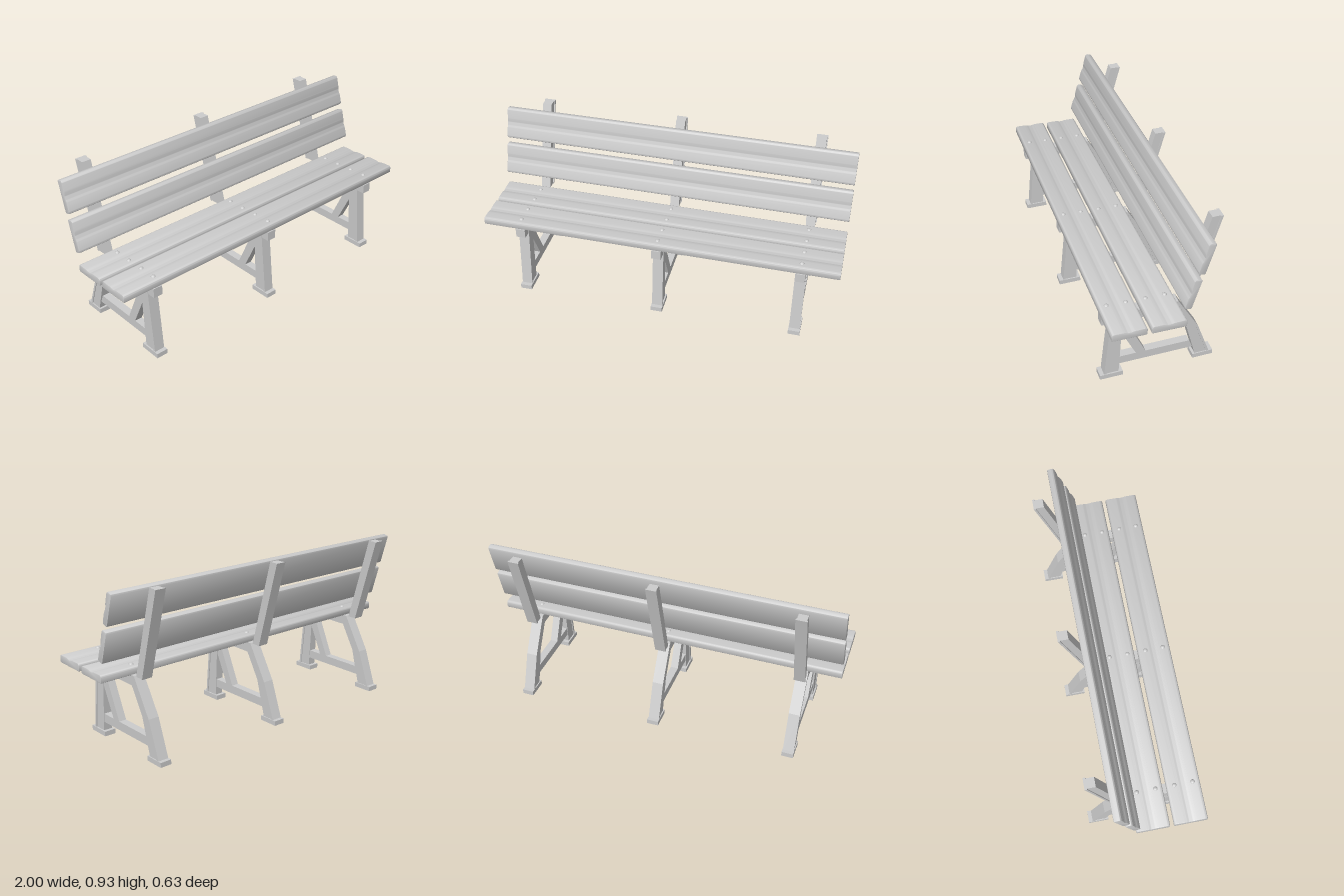
import * as THREE from 'three';
import { toCreasedNormals } from 'three/addons/utils/BufferGeometryUtils.js';

const castGrey = new THREE.MeshStandardMaterial({ color: 0xcccccc });
castGrey.name = 'light grey';

function add(parent, name, geometry, x = 0, y = 0, z = 0) {
  const mesh = new THREE.Mesh(geometry, castGrey);
  mesh.name = name;
  mesh.position.set(x, y, z);
  parent.add(mesh);
  return mesh;
}

// Side outline given as [z, y] points, extruded to a width along x
function sidePlate(points, width) {
  const shape = new THREE.Shape(points.map(([z, y]) => new THREE.Vector2(-z, y)));
  return new THREE.ExtrudeGeometry(shape, { depth: width, bevelEnabled: false })
    .translate(0, 0, -width / 2)
    .rotateY(Math.PI / 2);
}

// Long plank with rounded edges and a shallow groove along its face
function plank(length, thickness, angle) {
  const bevel = 0.004;
  const a = length / 2 - bevel, t = thickness / 2 - bevel, r = 0.011;
  const s = new THREE.Shape();
  s.moveTo(-a + r * 0.5, -t);
  s.lineTo(a - r * 0.5, -t);
  s.quadraticCurveTo(a, -t, a, -t + r * 0.5);
  s.lineTo(a, t - r);
  s.quadraticCurveTo(a, t, a - r, t);
  s.lineTo(0.035, t - 0.001);
  s.bezierCurveTo(0.018, t - 0.001, 0.014, t - 0.006, 0, t - 0.006);
  s.bezierCurveTo(-0.014, t - 0.006, -0.018, t - 0.001, -0.035, t);
  s.lineTo(-a + r, t);
  s.quadraticCurveTo(-a, t, -a, t - r);
  s.lineTo(-a, -t + r * 0.5);
  s.quadraticCurveTo(-a, -t, -a + r * 0.5, -t);
  const g = new THREE.ExtrudeGeometry(s, {
    depth: 2 - 2 * bevel, curveSegments: 8,
    bevelEnabled: true, bevelSize: bevel, bevelThickness: bevel, bevelSegments: 2,
  });
  g.translate(0, 0, -1 + bevel).rotateZ(angle).rotateY(Math.PI / 2);
  return toCreasedNormals(g, 0.7);
}

function createFrame() {
  const frame = new THREE.Group();
  frame.name = 'supportFrame';

  // Seat beam bending down into the rear leg
  add(frame, 'beamAndRearLeg', sidePlate([
    [0.307, 0.38], [-0.075, 0.375], [-0.159, 0.23], [-0.215, 0.025],
    [-0.292, 0.025], [-0.218, 0.23], [-0.102, 0.433], [0.307, 0.433],
  ], 0.054));
  add(frame, 'rearLegFlange', sidePlate([
    [-0.09, 0.433], [-0.208, 0.23], [-0.28, 0.025],
    [-0.294, 0.025], [-0.22, 0.232], [-0.103, 0.433],
  ], 0.062));

  // Tapered front leg with its wider front strip
  add(frame, 'frontLeg', sidePlate([
    [0.29, 0.025], [0.213, 0.025], [0.198, 0.3], [0.181, 0.385], [0.25, 0.42],
  ], 0.05));
  add(frame, 'frontLegFlange', sidePlate([
    [0.294, 0.025], [0.281, 0.025], [0.241, 0.424], [0.255, 0.424],
  ], 0.06));

  // Low stretcher and diagonal brace
  add(frame, 'stretcher', sidePlate([
    [0.22, 0.077], [-0.2, 0.077], [-0.18, 0.126], [0.22, 0.126],
  ], 0.044));
  add(frame, 'diagonalBrace', sidePlate([
    [0.201, 0.3], [0.115, 0.12], [0.062, 0.12], [0.181, 0.382], [0.2, 0.382],
  ], 0.044));

  // Feet
  add(frame, 'frontFoot', new THREE.BoxGeometry(0.066, 0.027, 0.125), 0, 0.0135, 0.2545);
  add(frame, 'rearFoot', new THREE.BoxGeometry(0.066, 0.027, 0.115), 0, 0.0135, -0.2575);

  // Raked backrest post with a thin rear strip
  add(frame, 'backPost', sidePlate([
    [-0.117, 0.433], [-0.172, 0.433], [-0.308, 0.928], [-0.255, 0.928],
  ], 0.052));
  add(frame, 'backPostFlange', sidePlate([
    [-0.164, 0.433], [-0.174, 0.433], [-0.312, 0.928], [-0.3, 0.928],
  ], 0.062));
  return frame;
}

export function createModel() {
  const bench = new THREE.Group();
  bench.name = 'bench';
  const supportX = [-0.79, 0, 0.79];

  for (const x of supportX) {
    const frame = createFrame();
    frame.position.x = x;
    bench.add(frame);
  }

  // Seat and backrest planks
  const seat = plank(0.185, 0.044, -0.02);
  add(bench, 'frontSeatPlank', seat, 0, 0.459, 0.2195);
  add(bench, 'rearSeatPlank', seat, 0, 0.453, 0.0135);
  const back = plank(0.181, 0.04, THREE.MathUtils.degToRad(74));
  add(bench, 'lowerBackPlank', back, 0, 0.629, -0.1);
  add(bench, 'upperBackPlank', back, 0, 0.834, -0.159);

  // Domed bolt heads on the seat
  const bolt = new THREE.SphereGeometry(0.013, 14, 6, 0, Math.PI * 2, 0, Math.PI / 2)
    .scale(1, 0.75, 1);
  for (const x of supportX) {
    for (const [z, y] of [[0.272, 0.48], [0.171, 0.477], [0.067, 0.473], [-0.036, 0.471]]) {
      add(bench, 'boltHead', bolt, x, y, z);
    }
  }
  return bench;
}
